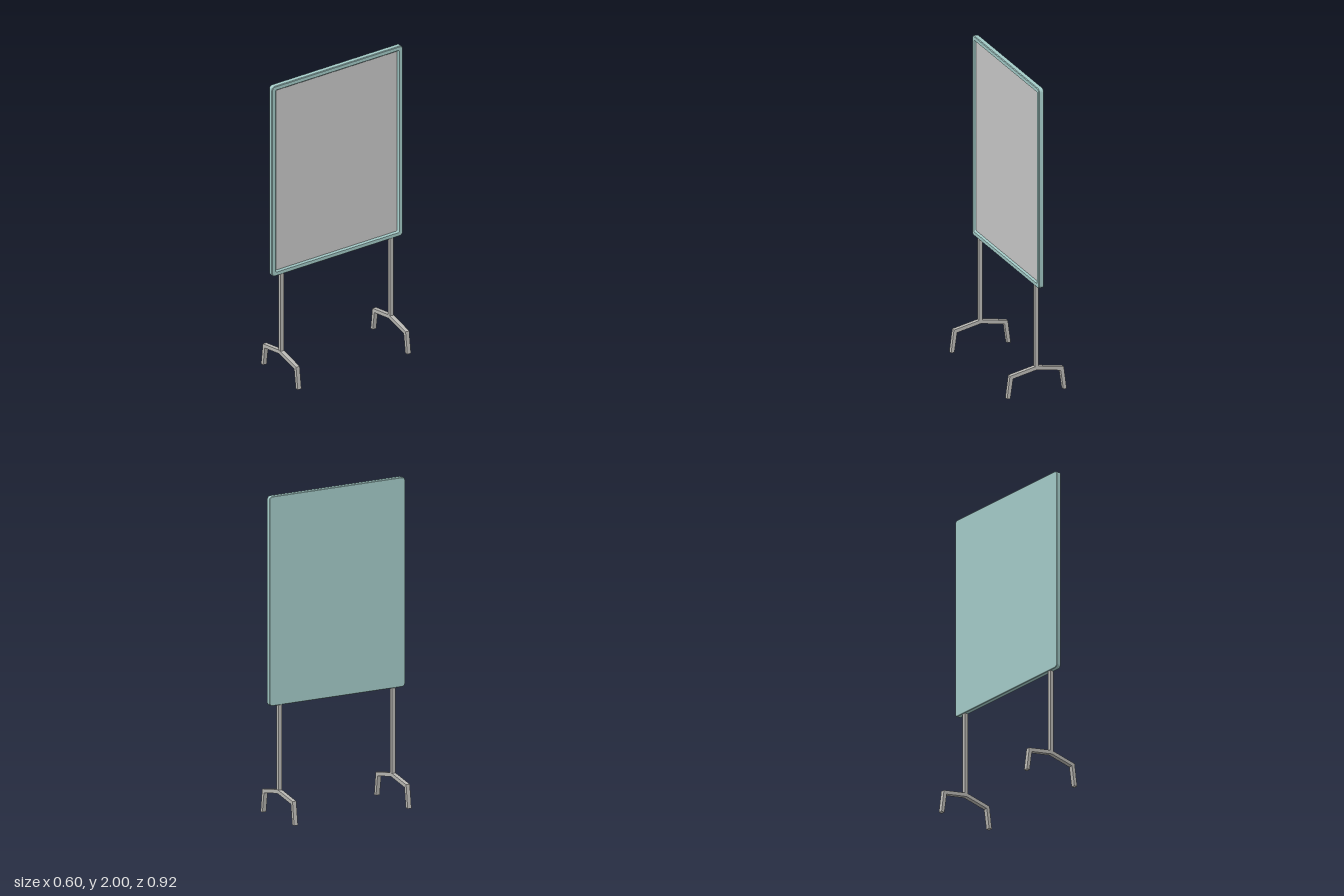
import * as THREE from 'three';
import { toCreasedNormals } from 'three/addons/utils/BufferGeometryUtils.js';

const W = 0.944, H = 1.295, HALF_T = 0.0165, CORNER = 0.022;

// Rounded rectangle, counter-clockwise, drawn in from the board's outline by inset
function outline(inset) {
  const r = Math.max(CORNER - inset, 0.007);
  const cx = W / 2 - inset - r, cy = H / 2 - inset - r;
  const points = [];
  [[1, 1], [-1, 1], [-1, -1], [1, -1]].forEach(([sx, sy], q) => {
    for (let i = 0; i <= 4; i++) {
      const a = (q + i / 4) * Math.PI / 2;
      points.push(new THREE.Vector2(sx * cx + r * Math.cos(a), sy * cy + r * Math.sin(a)));
    }
  });
  return points;
}

// Joins outlines given as [inset, z], from back to front
function loft(sections) {
  const positions = [], index = [];
  const n = outline(0).length;
  sections.forEach(([inset, z], k) => {
    outline(inset).forEach((p, i) => {
      positions.push(p.x, p.y, z);
      if (k === 0) return;
      const j = (i + 1) % n, a = (k - 1) * n, b = k * n;
      index.push(a + i, a + j, b + j, a + i, b + j, b + i);
    });
  });
  const geometry = new THREE.BufferGeometry();
  geometry.setAttribute('position', new THREE.Float32BufferAttribute(positions, 3));
  geometry.setIndex(index);
  return toCreasedNormals(geometry, 0.5);
}

export function createModel() {
  const frameMat = new THREE.MeshStandardMaterial({ color: 0xa4cbc8 });
  frameMat.name = 'pale teal';
  const panelMat = new THREE.MeshStandardMaterial({ color: 0xc9c9c9 });
  panelMat.name = 'light grey';
  const metalMat = new THREE.MeshStandardMaterial({ color: 0xb9b8b4 });
  metalMat.name = 'warm grey metal';

  const model = new THREE.Group();
  model.name = 'displayBoard';
  const add = (name, geometry, material, x = 0, y = 0, z = 0) => {
    const mesh = new THREE.Mesh(geometry, material);
    mesh.name = name;
    mesh.position.set(x, y, z);
    model.add(mesh);
    return mesh;
  };

  // Board: bevelled frame with a sloped inner lip, flat back, recessed panel
  const midY = 2 - H / 2;
  const back = [0.003, -HALF_T], lip = [0.035, 0.006];
  add('frame', loft([back, [0, 0.003 - HALF_T], [0, HALF_T - 0.004],
    [0.004, HALF_T], [0.026, HALF_T], lip]), frameMat, 0, midY);
  const sheet = (inset) => new THREE.ShapeGeometry(new THREE.Shape(outline(inset)));
  add('boardBack', sheet(back[0]).rotateY(Math.PI), frameMat, 0, midY, back[1]);
  add('panel', sheet(lip[0]), panelMat, 0, midY, lip[1]);

  // Stands: a square post on a bent two-legged foot
  const half = [[0, 0.18], [0.178, 0.145], [0.197, 0], [0.175, 0], [0.157, 0.125], [0, 0.156]];
  const mirrored = half.slice(1, -1).reverse().map(([x, y]) => [-x, y]);
  const footShape = new THREE.Shape([...half, ...mirrored].map(([x, y]) => new THREE.Vector2(x, y)));
  const footWidth = 0.026;
  const footGeo = new THREE.ExtrudeGeometry(footShape, { depth: footWidth, bevelEnabled: false })
    .translate(0, 0, -footWidth / 2).rotateY(Math.PI / 2);
  const postGeo = new THREE.BoxGeometry(0.024, 0.545, 0.024);
  for (const [side, x] of [['front', -0.395], ['rear', 0.395]]) {
    add(side + 'Post', postGeo, metalMat, x, 0.4375);
    add(side + 'Foot', footGeo, metalMat, x);
  }

  // The whole board stands turned about the vertical
  model.rotation.y = THREE.MathUtils.degToRad(74.5);
  const group = new THREE.Group();
  group.name = 'freestandingBoard';
  group.add(model);
  return group;
}
